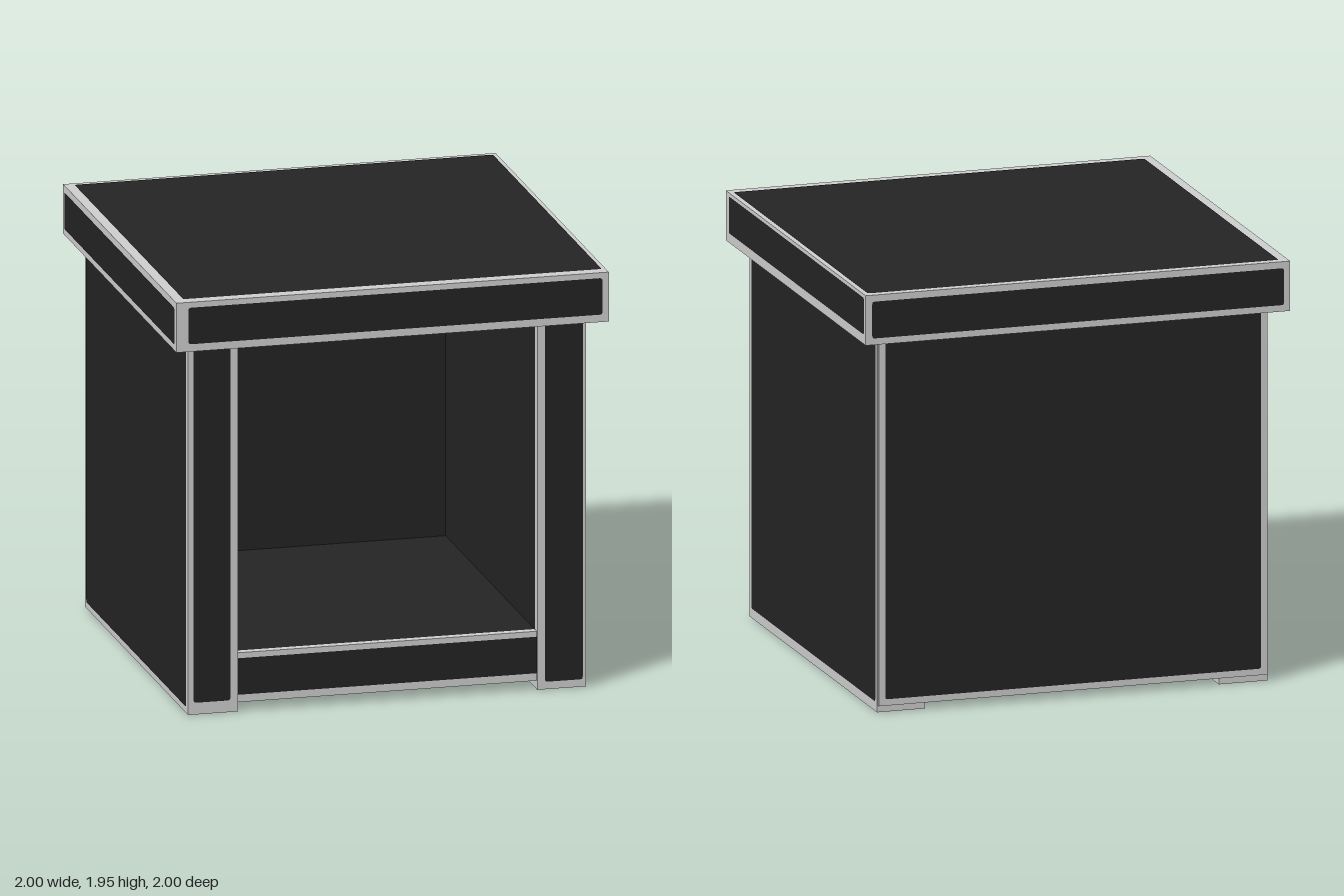
import * as THREE from 'three';

const edgeGrey = new THREE.MeshStandardMaterial({ color: 0xd0d0d0 });
edgeGrey.name = 'edgeGrey';
const panelBlack = new THREE.MeshStandardMaterial({ color: 0x242424 });
panelBlack.name = 'panelBlack';

// Outward turn of each face, and which box sides are its width, height and depth
const FACES = {
  front: { turn: [0, 0], axes: ['x', 'y', 'z'] },
  back: { turn: [0, Math.PI], axes: ['x', 'y', 'z'] },
  right: { turn: [0, Math.PI / 2], axes: ['z', 'y', 'x'] },
  left: { turn: [0, -Math.PI / 2], axes: ['z', 'y', 'x'] },
  top: { turn: [-Math.PI / 2, 0], axes: ['x', 'z', 'y'] },
  bottom: { turn: [Math.PI / 2, 0], axes: ['x', 'z', 'y'] },
};

// Flat rectangle with softened corners
function panelGeometry(x0, x1, y0, y1, r = 0.012) {
  const s = new THREE.Shape();
  s.moveTo(x0 + r, y0);
  s.lineTo(x1 - r, y0);
  s.quadraticCurveTo(x1, y0, x1, y0 + r);
  s.lineTo(x1, y1 - r);
  s.quadraticCurveTo(x1, y1, x1 - r, y1);
  s.lineTo(x0 + r, y1);
  s.quadraticCurveTo(x0, y1, x0, y1 - r);
  s.lineTo(x0, y0 + r);
  s.quadraticCurveTo(x0, y0, x0 + r, y0);
  return new THREE.ShapeGeometry(s, 3);
}

// Grey board with a dark inset panel on every face.
// margins: per face [left, right, bottom, top] as seen facing it
function board(name, min, max, margins = {}) {
  const group = new THREE.Group();
  group.name = name;
  const box = new THREE.Box3(new THREE.Vector3(...min), new THREE.Vector3(...max));
  const size = box.getSize(new THREE.Vector3());
  box.getCenter(group.position);

  const core = new THREE.Mesh(new THREE.BoxGeometry(size.x, size.y, size.z), edgeGrey);
  core.name = name + 'Edges';
  group.add(core);

  for (const [face, { turn, axes }] of Object.entries(FACES)) {
    const [w, h, d] = axes.map((a) => size[a] / 2);
    const [l, r, b, t] = margins[face] || [0.03, 0.03, 0.03, 0.03];
    const geometry = panelGeometry(-w + l, w - r, -h + b, h - t);
    geometry.translate(0, 0, d + 0.002);
    const panel = new THREE.Mesh(geometry, panelBlack);
    panel.rotation.set(turn[0], turn[1], 0);
    panel.name = name + 'Panel' + face;
    group.add(panel);
  }
  return group;
}

export function createModel() {
  const model = new THREE.Group();
  model.name = 'openCabinet';

  // Overhanging top slab
  model.add(board('topSlab', [-1, 1.72, -1], [1, 1.95, 1], {
    front: [0.055, 0.03, 0.035, 0.025],
    right: [0.05, 0.02, 0.045, 0.015],
    top: [0.045, 0.02, 0.05, 0.03],
  }));

  // Side walls, running up into the slab
  model.add(board('leftWall', [0.695, 0, -0.92], [0.92, 1.8, 0.9], {
    front: [0.035, 0.015, 0.035, 0.03],
    right: [0.03, 0.02, 0.045, 0.03],
  }));
  model.add(board('rightWall', [-0.92, 0, -0.92], [-0.69, 1.8, 0.9], {
    front: [0.025, 0.035, 0.055, 0.03],
  }));

  // Back board, just clear of the ground
  model.add(board('backBoard', [-0.915, 0.03, -0.93], [0.915, 1.8, -0.71]));

  // Floor board, let into the walls and back
  model.add(board('floorBoard', [-0.8, 0.04, -0.8], [0.8, 0.27, 0.89], {
    front: [0.03, 0.03, 0.035, 0.025],
    bottom: [0.03, 0.03, 0.03, 0.015],
  }));

  return model;
}
